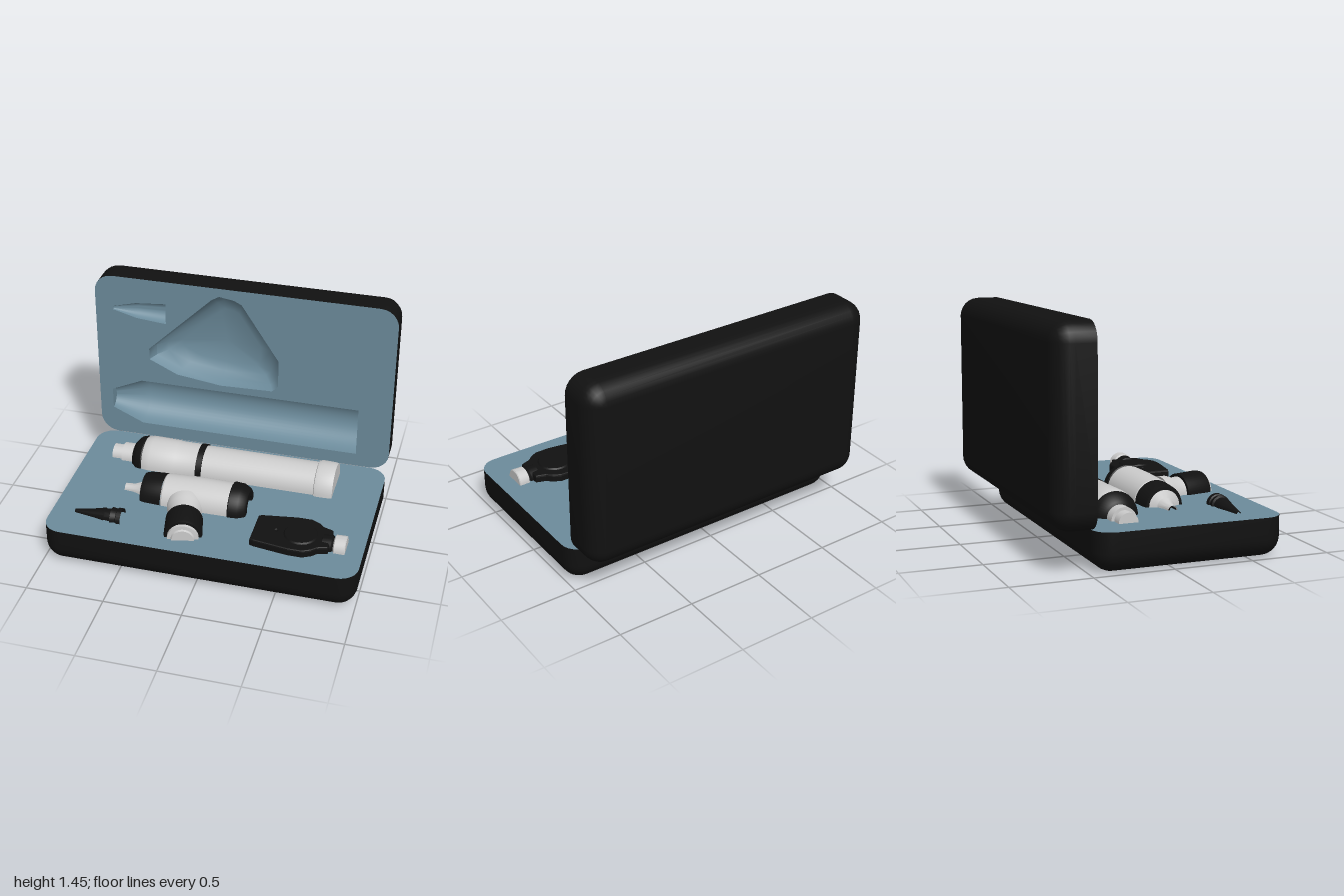
import * as THREE from 'three';
import { toCreasedNormals } from 'three/addons/utils/BufferGeometryUtils.js';

const mat = (color) => new THREE.MeshStandardMaterial({ color, side: THREE.DoubleSide });
const BLACK = mat(0x111111), FOAM = mat(0x6c8b9b), GREY = mat(0xcccccc);
const HALF_W = 1, HALF_H = 0.5975, R = 0.12, DEPTH = 0.25;

function add(parent, name, geometry, material) {
  const mesh = new THREE.Mesh(geometry, material);
  mesh.name = name;
  parent.add(mesh);
  return mesh;
}

function group(parent, name, x, y, z) {
  const g = new THREE.Group();
  g.name = name;
  g.position.set(x, y, z);
  parent.add(g);
  return g;
}

// Half of a turned part lying along x; profile is [x, radius] pairs
function halfTurned(profile, start = Math.PI, segments = 24) {
  const pts = profile.map(([x, r]) => new THREE.Vector2(r, x));
  const geo = new THREE.LatheGeometry(pts, segments, start, Math.PI);
  return toCreasedNormals(geo.rotateZ(-Math.PI / 2), 0.6);
}

// Skin joining closed rings of equal point count
function loft(rings, crease = 0.6) {
  const n = rings[0].length, index = [];
  for (let k = 0; k < rings.length - 1; k++) {
    for (let i = 0; i < n; i++) {
      const a = k * n + i, b = k * n + (i + 1) % n;
      index.push(a, a + n, b, b, a + n, b + n);
    }
  }
  const geo = new THREE.BufferGeometry();
  geo.setAttribute('position', new THREE.Float32BufferAttribute(rings.flat(2), 3));
  geo.setIndex(index);
  return toCreasedNormals(geo, crease);
}

// Counter-clockwise rounded rectangle, inset from the case outline
function caseOutline(inset) {
  const pts = [], r = R - inset;
  [[1, 1], [-1, 1], [-1, -1], [1, -1]].forEach(([sx, sy], q) => {
    for (let i = 0; i <= 6; i++) {
      const a = (q + i / 6) * Math.PI / 2;
      pts.push([sx * (HALF_W - R) + r * Math.cos(a), sy * (HALF_H - R) + r * Math.sin(a)]);
    }
  });
  return pts;
}

const vectors = (pts) => pts.map(([x, y]) => new THREE.Vector2(x, y));

// One half of the case: opening in the xy plane, shell going back along -z
function caseHalf(parent, name, y, z, holes = []) {
  const g = group(parent, name, 0, y, z);
  const rings = [caseOutline(0).map(([px, py]) => [px, py, 0])];
  for (let i = 0; i <= 6; i++) {
    const a = i / 6 * Math.PI / 2;
    const depth = DEPTH - R + R * Math.sin(a);
    rings.push(caseOutline(R * (1 - Math.cos(a))).map(([px, py]) => [px, py, -depth]));
  }
  rings.push(rings[0].map(() => [0, 0, -DEPTH]));
  add(g, name + 'Shell', loft(rings), BLACK);
  const panel = new THREE.Shape(vectors(caseOutline(0)));
  holes.forEach((h) => panel.holes.push(new THREE.Path(vectors(h))));
  add(g, name + 'Foam', new THREE.ShapeGeometry(panel), FOAM);
  return g;
}

// Outline of a turned pocket, mirrored about its axis
function turnedOutline(profile, cy) {
  const open = profile.filter(([, r]) => r > 0);
  return [...open.map(([x, r]) => [x, cy - r]), ...open.map(([x, r]) => [x, cy + r]).reverse()];
}

function buildLid(root) {
  const handlePocket = [[-0.91, 0], [-0.91, 0.072], [-0.7, 0.168], [0.78, 0.17], [0.78, 0]];
  const tipPocket = [[-0.88, 0], [-0.88, 0.012], [-0.72, 0.055], [-0.52, 0.073], [-0.52, 0]];
  const headPocket = [[-0.64, 0.01], [-0.45, -0.08], [-0.15, -0.12], [0.2, -0.11], [0.24, -0.07],
    [0.24, 0.12], [-0.01, 0.5], [-0.06, 0.525], [-0.16, 0.54], [-0.21, 0.51], [-0.64, 0.09]];
  const hy = -0.335, ty = 0.365;
  const lid = caseHalf(root, 'lid', 0.85, -0.475,
    [turnedOutline(handlePocket, hy), turnedOutline(tipPocket, ty), headPocket]);
  add(lid, 'handlePocket', halfTurned(handlePocket, Math.PI / 2), FOAM).position.y = hy;
  add(lid, 'tipPocket', halfTurned(tipPocket, Math.PI / 2), FOAM).position.y = ty;
  // Sloping bowl for the T-shaped head
  const rings = [[1, 0], [0.93, 0.06], [0.8, 0.11], [0.6, 0.14], [0, 0.145]].map(([s, d]) =>
    headPocket.map(([x, y]) => [-0.14 + (x + 0.14) * s, 0.15 + (y - 0.15) * s, -d]));
  add(lid, 'headPocket', loft(rings, 0.8), FOAM);
}

function buildHandle(root) {
  const g = group(root, 'handle', 0, 0.25, -0.215);
  add(g, 'connector', halfTurned([[-0.82, 0], [-0.82, 0.062], [-0.75, 0.062], [-0.75, 0.08],
    [-0.67, 0.08]]), GREY);
  add(g, 'collar', halfTurned([[-0.68, 0.07], [-0.67, 0.095], [-0.635, 0.135], [-0.6, 0.145],
    [-0.59, 0.14]]), BLACK);
  add(g, 'dial', halfTurned([[-0.61, 0.13], [-0.59, 0.143], [-0.54, 0.15], [-0.37, 0.146],
    [-0.36, 0.143], [-0.22, 0.143]]), GREY);
  add(g, 'ring', halfTurned([[-0.22, 0.14], [-0.22, 0.147], [-0.18, 0.147], [-0.18, 0.138]]), BLACK);
  add(g, 'barrel', halfTurned([[-0.18, 0.14], [0.58, 0.14]]), GREY);
  add(g, 'endCap', halfTurned([[0.575, 0.14], [0.58, 0.15], [0.6, 0.155], [0.68, 0.153],
    [0.7, 0.148], [0.7, 0]]), GREY);
}

function buildViewingHead(root) {
  const g = group(root, 'viewingHead', 0, 0.25, 0.155);
  add(g, 'nozzle', halfTurned([[-0.62, 0.03], [-0.56, 0.034], [-0.51, 0.055], [-0.49, 0.1]]), GREY);
  add(g, 'frontBand', halfTurned([[-0.49, 0.06], [-0.49, 0.118], [-0.46, 0.128], [-0.35, 0.134]]), BLACK);
  add(g, 'body', halfTurned([[-0.35, 0.128], [-0.34, 0.136], [-0.1, 0.143], [0.1, 0.14]]), GREY);
  // Hollow eyepiece with a bore running through the body
  add(g, 'eyepiece', halfTurned([[0.09, 0.135], [0.1, 0.147], [0.16, 0.143], [0.2, 0.122],
    [0.21, 0.11], [0.21, 0.07], [0.15, 0.05]]), BLACK);
  add(g, 'bore', halfTurned([[-0.62, 0.022], [0.08, 0.03], [0.15, 0.05]]), BLACK);

  // Slanted stem
  const stem = group(root, 'stem', -0.2, 0.25, 0.2);
  stem.rotation.y = -1.34;
  add(stem, 'stemNeck', halfTurned([[0.05, 0.12], [0.11, 0.115], [0.16, 0.096], [0.2, 0.1]]), GREY);
  add(stem, 'stemBand', halfTurned([[0.2, 0.09], [0.2, 0.118], [0.36, 0.121], [0.38, 0.115],
    [0.38, 0.09]]), BLACK);
  add(stem, 'stemEnd', halfTurned([[0.375, 0.1], [0.4, 0.098], [0.402, 0.075], [0.415, 0.07],
    [0.415, 0]]), GREY);
}

function buildTip(root) {
  const g = group(root, 'earTip', 0, 0.25, 0.482);
  add(g, 'earTipCone', halfTurned([[-0.85, 0.014], [-0.72, 0.036], [-0.65, 0.052], [-0.645, 0.046],
    [-0.61, 0.05], [-0.605, 0.062], [-0.57, 0.056], [-0.565, 0.064], [-0.535, 0.064]]), BLACK);
}

function buildMirrorHead(root) {
  const g = group(root, 'mirrorHead', 0, 0.25, 0);
  // Flat bevelled housing with a small sight hole
  const half = [[0.31, 0.12], [0.33, 0.128], [0.48, 0.15], [0.55, 0.16], [0.64, 0.16],
    [0.69, 0.135], [0.72, 0.105], [0.78, 0.085]];
  const shape = new THREE.Shape(vectors(turnedOutline(half, -0.41)));
  shape.holes.push(new THREE.Path().absarc(0.445, -0.41, 0.014, 0, Math.PI * 2, true));
  const housing = new THREE.ExtrudeGeometry(shape, { depth: 0.035, bevelThickness: 0.012,
    bevelSize: 0.008, bevelSegments: 2, curveSegments: 8 });
  add(g, 'housing', housing.rotateX(-Math.PI / 2), BLACK);
  // Lens wheel on top
  const wheel = add(g, 'lensWheel', new THREE.CylinderGeometry(0.1, 0.11, 0.012, 24), BLACK);
  wheel.position.set(0.6, 0.05, 0.41);
  const neck = group(g, 'neck', 0, 0, 0.415);
  add(neck, 'neckCollar', halfTurned([[0.72, 0], [0.74, 0.06], [0.8, 0.066], [0.815, 0.05]]), BLACK);
  add(neck, 'neckSocket', halfTurned([[0.81, 0.052], [0.82, 0.072], [0.885, 0.074], [0.89, 0.068],
    [0.89, 0]]), GREY);
}

export function createModel() {
  const root = new THREE.Group();
  root.name = 'instrumentCase';
  caseHalf(root, 'base', 0.25, 0.1225).rotation.x = -Math.PI / 2;
  buildLid(root);
  buildHandle(root);
  buildViewingHead(root);
  buildTip(root);
  buildMirrorHead(root);
  return root;
}
